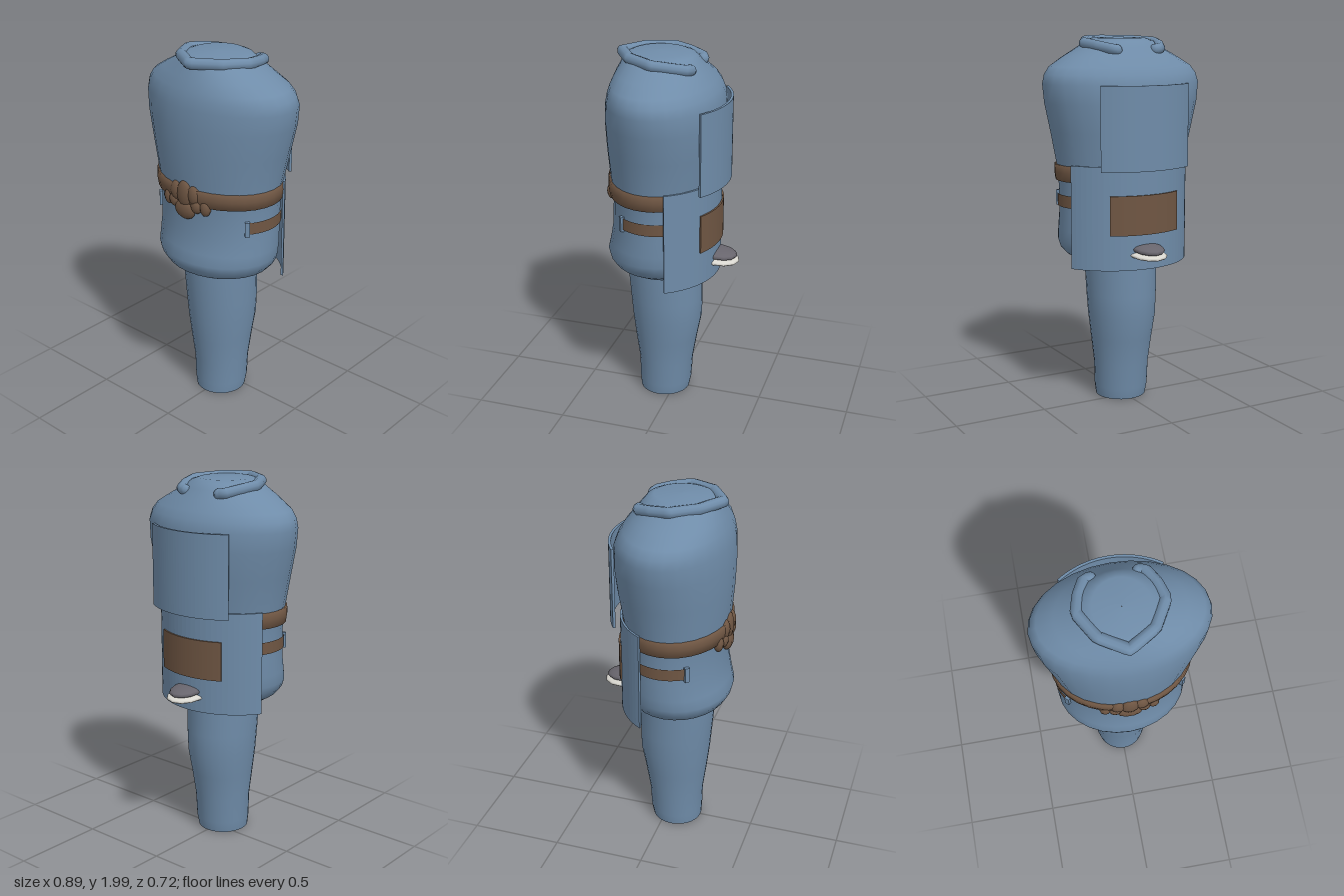
import * as THREE from 'three';

const flat = (name, color) => {
  const m = new THREE.MeshStandardMaterial({ color });
  m.name = name;
  return m;
};

export function createModel() {
  const blue = flat('blueCloth', 0x6f8ca9);
  const brown = flat('brownLeather', 0x6f5643);
  const grey = flat('darkGrey', 0x68656d);
  const white = flat('offWhite', 0xd9d7d0);
  const group = new THREE.Group();

  const add = (name, geometry, material, x = 0, y = 0, z = 0) => {
    const mesh = new THREE.Mesh(geometry, material);
    mesh.name = name;
    mesh.position.set(x, y, z);
    group.add(mesh);
    return mesh;
  };

  // Smooth closed body through oval sections [y, half width, front z, back z]
  const loft = (sections, n = 28) => {
    const pos = [], idx = [];
    for (const [y, rx, front, back] of sections) {
      const zc = (front + back) / 2, rz = (front - back) / 2;
      for (let i = 0; i < n; i++) {
        const a = (i / n) * Math.PI * 2;
        pos.push(rx * Math.sin(a), y, zc + rz * Math.cos(a));
      }
    }
    for (let j = 0; j < sections.length - 1; j++) {
      for (let i = 0; i < n; i++) {
        const a = j * n + i, b = j * n + (i + 1) % n;
        idx.push(a, b, b + n, a, b + n, a + n);
      }
    }
    const g = new THREE.BufferGeometry();
    g.setAttribute('position', new THREE.Float32BufferAttribute(pos, 3));
    g.setIndex(idx);
    g.computeVertexNormals();
    return g;
  };

  // Upright plate bent round a vertical axis at z = zc, centred on the back
  const backPlate = (radius, thick, half, height, zc) => {
    const s = new THREE.Shape();
    const a = Math.asin(half / radius), mid = Math.PI / 2;
    s.absarc(0, -zc, radius, mid - a, mid + a, false);
    s.absarc(0, -zc, radius - thick, mid + a, mid - a, true);
    const g = new THREE.ExtrudeGeometry(s, { depth: height, bevelEnabled: false, curveSegments: 14 });
    return g.rotateX(-Math.PI / 2);
  };

  // Torso, from the hem up to the closed neck
  add('torso', loft([
    [0.78, 0.001, 0.061, 0.059], [0.78, 0.19, 0.2, -0.13], [0.80, 0.25, 0.275, -0.17],
    [0.83, 0.30, 0.325, -0.19], [0.87, 0.335, 0.35, -0.205], [0.91, 0.347, 0.36, -0.21],
    [0.97, 0.35, 0.345, -0.21], [1.06, 0.348, 0.328, -0.21], [1.2, 0.35, 0.322, -0.21],
    [1.33, 0.364, 0.335, -0.225], [1.5, 0.40, 0.347, -0.25], [1.65, 0.435, 0.35, -0.262],
    [1.75, 0.447, 0.342, -0.255], [1.8, 0.435, 0.332, -0.235], [1.84, 0.405, 0.32, -0.21],
    [1.89, 0.32, 0.3, -0.17], [1.94, 0.225, 0.275, -0.13], [1.97, 0.185, 0.26, -0.105],
    [1.985, 0.14, 0.22, -0.07], [1.99, 0.001, 0.081, 0.079],
  ]), blue);

  // Single tapering column below the hem, with a flat underside
  add('lowerColumn', loft([
    [0.01, 0.138, 0.198, -0.08], [0.07, 0.147, 0.202, -0.092], [0.2, 0.151, 0.205, -0.1],
    [0.35, 0.168, 0.225, -0.125], [0.48, 0.184, 0.24, -0.15], [0.6, 0.191, 0.25, -0.152],
    [0.78, 0.197, 0.265, -0.15], [0.9, 0.2, 0.268, -0.15],
  ]), blue);
  const sole = new THREE.CircleGeometry(1, 28).rotateX(Math.PI / 2).scale(0.138, 1, 0.139);
  add('lowerColumnBase', sole, blue, 0, 0.01, 0.059);

  // Open collar roll with rounded ends
  const half = [[0.115, 1.925, -0.115], [0.145, 1.93, -0.11], [0.185, 1.945, -0.03],
    [0.21, 1.958, 0.065], [0.135, 1.966, 0.2]];
  const path = new THREE.CurvePath();
  const pts = [...half, [0, 1.967, 0.285], ...half.slice().reverse().map(([x, y, z]) => [-x, y, z])]
    .map((p) => new THREE.Vector3(...p));
  for (let i = 0; i < pts.length - 1; i++) path.add(new THREE.LineCurve3(pts[i], pts[i + 1]));
  add('collar', new THREE.TubeGeometry(path, 60, 0.03, 10, false), blue);
  for (const p of [pts[0], pts[pts.length - 1]]) {
    add('collarEnd', new THREE.SphereGeometry(0.03, 10, 8), blue, p.x, p.y, p.z);
  }

  // Waist belt
  add('belt', loft([
    [1.24, 0.345, 0.315, -0.2], [1.24, 0.366, 0.342, -0.222], [1.285, 0.371, 0.35, -0.226],
    [1.325, 0.368, 0.347, -0.224], [1.325, 0.345, 0.32, -0.2],
  ], 32), brown);

  // Gathered knot on the belt: [x, y, half width, half height]
  for (const [x, y, w, h] of [
    [0, 1.285, 0.05, 0.078], [0, 1.2, 0.07, 0.052], [0.06, 1.29, 0.04, 0.055],
    [-0.06, 1.29, 0.04, 0.055], [0.125, 1.235, 0.032, 0.045], [-0.125, 1.235, 0.032, 0.045],
    [0.075, 1.235, 0.035, 0.04], [-0.075, 1.235, 0.035, 0.04],
  ]) {
    const z = 0.332 - x * x * 1.2;
    add('beltKnot', new THREE.SphereGeometry(1, 10, 8).scale(w, h, 0.027), brown, x, y, z);
  }

  // Side straps and their loops
  for (const side of [1, -1]) {
    const g = new THREE.CylinderGeometry(1, 1, 0.065, 12, 1, true, Math.PI * 0.33, Math.PI * 0.4);
    g.scale(0.356, 1, 0.274);
    const strap = add('sideStrap', g, brown, 0, 1.133, 0.057);
    if (side < 0) strap.rotation.y = 0;
    if (side < 0) {
      strap.geometry = new THREE.CylinderGeometry(1, 1, 0.065, 12, 1, true, Math.PI * 1.27, Math.PI * 0.4)
        .scale(0.356, 1, 0.274);
    }
    const loop = add('strapLoop', new THREE.BoxGeometry(0.025, 0.082, 0.03), blue, side * 0.303, 1.13, 0.193);
    loop.rotation.y = side * 0.75;
  }

  // Back plates with the leather patch
  add('upperBackPlate', backPlate(0.46, 0.014, 0.262, 0.44, 0.163), blue, 0, 1.31, 0);
  add('lowerBackPlate', backPlate(0.412, 0.012, 0.352, 0.55, 0.166), blue, 0, 0.782, 0);
  add('backPatch', backPlate(0.422, 0.009, 0.204, 0.21, 0.166), brown, 0, 0.97, 0);

  // Small two-part shell projecting from the lower back
  const shell = (w, h, d) => new THREE.SphereGeometry(1, 12, 8).scale(w, h, d);
  add('shellTop', shell(0.085, 0.026, 0.108), grey, 0, 0.893, -0.243).rotation.x = -0.1;
  add('shellBottom', shell(0.1, 0.02, 0.12), white, 0, 0.862, -0.243).rotation.x = -0.08;

  return group;
}
